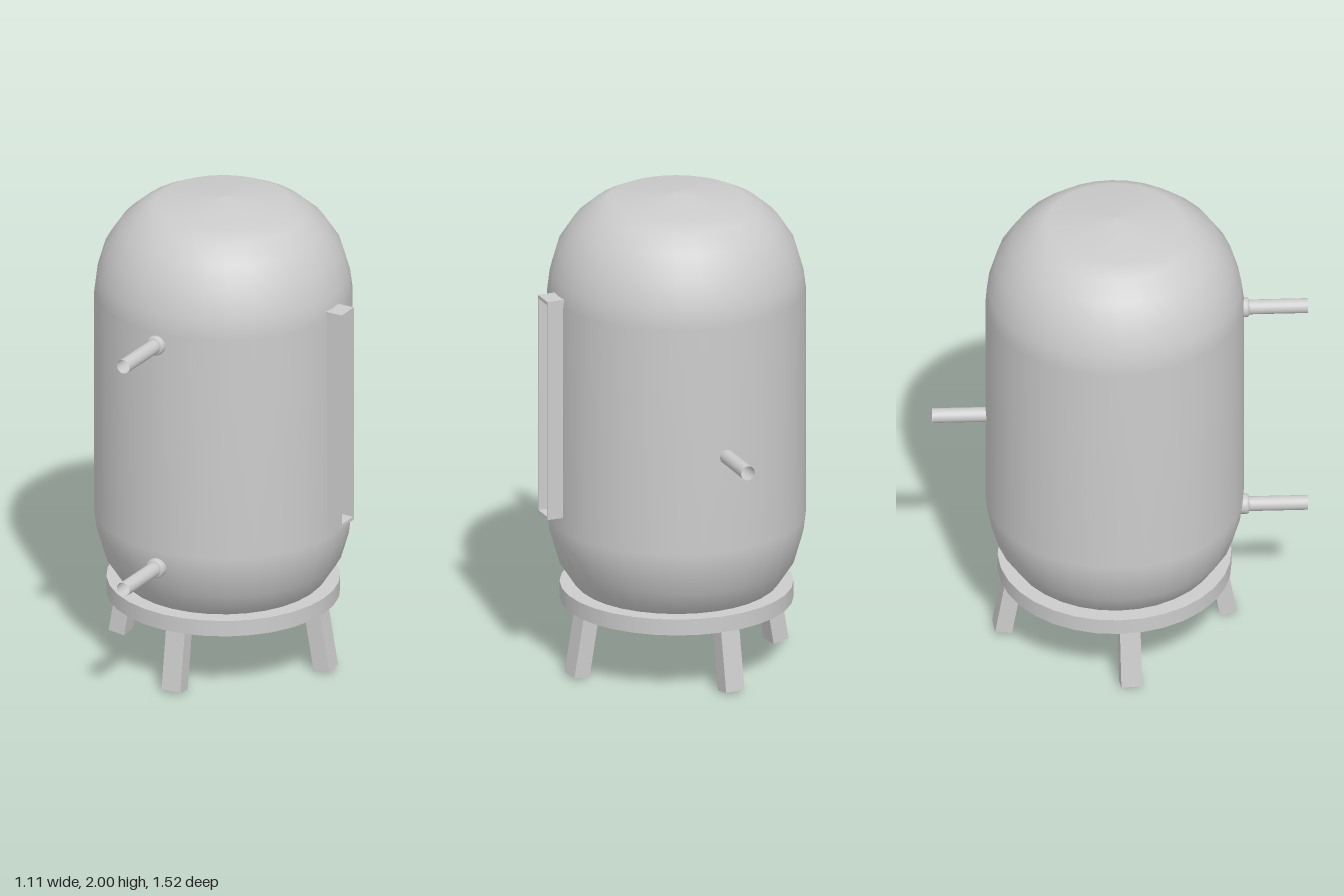
import * as THREE from 'three';

export function createModel() {
  const model = new THREE.Group();
  model.name = 'pressureTank';
  const solid = new THREE.MeshStandardMaterial({ color: 0xcccccc });
  const flat = new THREE.MeshStandardMaterial({ color: 0xcccccc, flatShading: true });
  const open = new THREE.MeshStandardMaterial({ color: 0xcccccc, side: THREE.DoubleSide });

  // Everything but the overall group is placed around the tank axis
  const cx = -0.033, cz = -0.022;
  const body = new THREE.Group();
  body.name = 'tankAssembly';
  body.position.set(cx, 0, cz);
  model.add(body);

  function add(name, geometry, material, x = 0, y = 0, z = 0, parent = body) {
    const mesh = new THREE.Mesh(geometry, material);
    mesh.name = name;
    mesh.position.set(x, y, z);
    parent.add(mesh);
    return mesh;
  }

  // Tank: domed profile, mirrored about its middle height
  const dome = [[0.523, 1.59], [0.513, 1.67], [0.481, 1.78], [0.418, 1.876],
    [0.344, 1.94], [0.275, 1.974], [0, 2]];
  const upper = dome.map(([r, y]) => new THREE.Vector2(r, y));
  const lower = dome.map(([r, y]) => new THREE.Vector2(r, 2.22 - y)).reverse();
  add('tank', new THREE.LatheGeometry([...lower, ...upper], 32), solid);

  // Support ring under the tank
  add('baseRing', new THREE.CylinderGeometry(0.473, 0.473, 0.068, 32), solid, 0, 0.299, 0);

  // Four splayed legs
  const tilt = 0.168;
  for (let i = 0; i < 4; i++) {
    const pivot = new THREE.Group();
    pivot.name = 'leg' + (i + 1);
    pivot.rotation.y = i * Math.PI / 2 + 0.1;
    body.add(pivot);
    const leg = add('legPost', new THREE.BoxGeometry(0.084, 0.3, 0.07), flat, 0, 0.154, 0.434, pivot);
    leg.rotation.x = -tilt;
  }

  // Open pipes lying along z
  function pipe(name, y, z0, z1) {
    const geometry = new THREE.CylinderGeometry(0.03, 0.03, Math.abs(z1 - z0), 20, 1, true);
    geometry.rotateX(Math.PI / 2);
    add(name, geometry, open, 0, y, (z0 + z1) / 2);
  }
  const end = 0.76;
  pipe('backPipe', 1.035, -0.51, -end - cz);

  // Front pipes with rounded collars
  const collarProfile = [[0.03, 0.032], [0.036, 0.031], [0.04, 0.026], [0.041, 0.018], [0.04, -0.01]]
    .map(([r, y]) => new THREE.Vector2(r, y)).reverse();
  for (const [label, y] of [['upper', 1.54], ['lower', 0.557]]) {
    pipe(label + 'FrontPipe', y, 0.5, end - cz);
    const collar = new THREE.LatheGeometry(collarProfile, 20);
    collar.rotateX(Math.PI / 2);
    add(label + 'Collar', collar, open, 0, y, 0.512);
  }

  // Gauge housing on the left side, open towards the outside
  const gauge = new THREE.Group();
  gauge.name = 'gaugeHousing';
  gauge.position.set(0.538, 1.157, 0);
  body.add(gauge);
  for (const s of [-1, 1]) {
    add(s > 0 ? 'gaugeTop' : 'gaugeBottom', new THREE.BoxGeometry(0.1, 0.014, 0.096), flat,
      0, s * 0.461, 0, gauge);
    add(s > 0 ? 'gaugeFrontWall' : 'gaugeBackWall', new THREE.BoxGeometry(0.1, 0.936, 0.004), flat,
      0, 0, s * 0.046, gauge);
  }

  return model;
}
